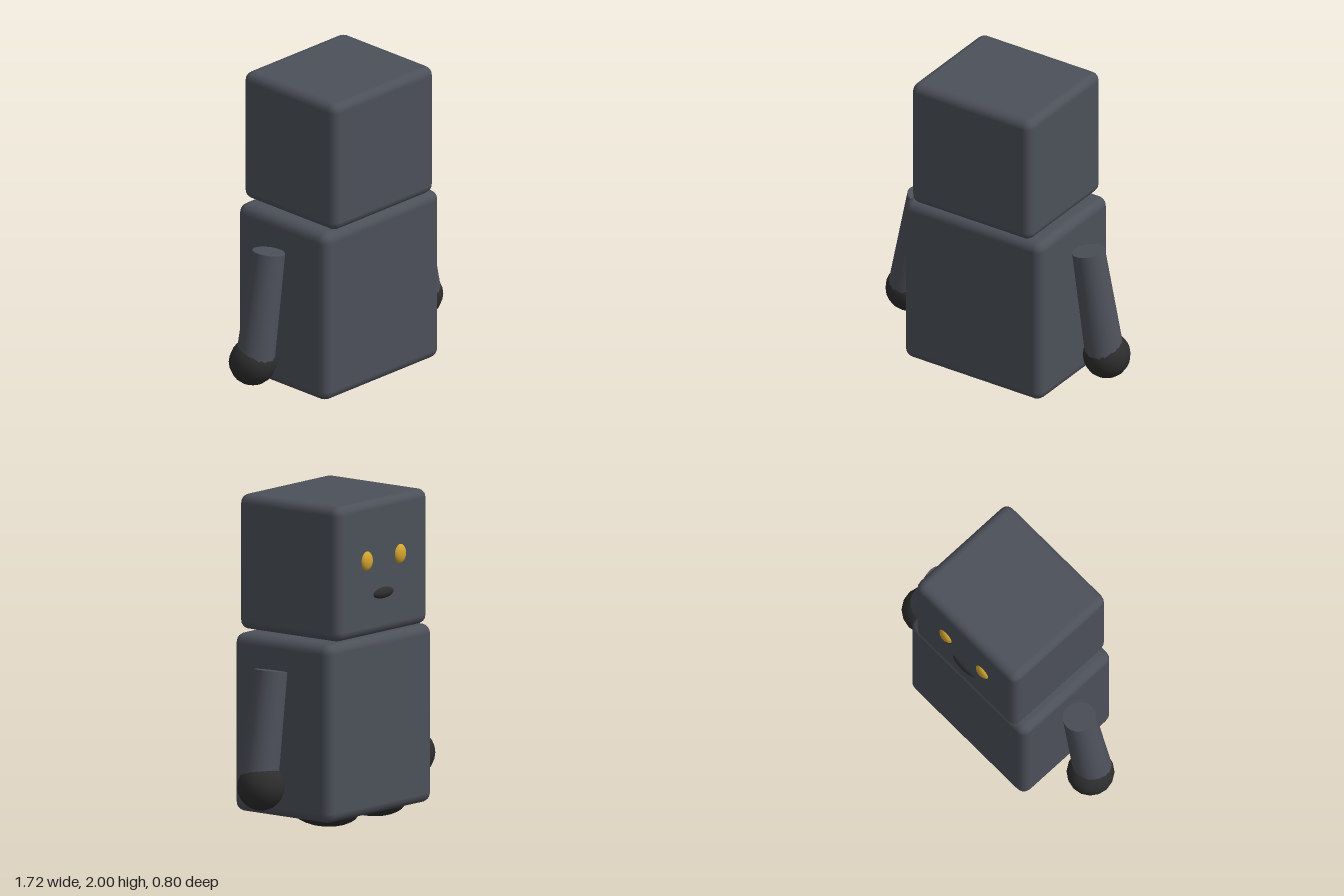
import * as THREE from 'three';
import { RoundedBoxGeometry } from 'three/addons/geometries/RoundedBoxGeometry.js';

function material(name, color) {
  const m = new THREE.MeshStandardMaterial({ color });
  m.name = name;
  return m;
}

export function createModel() {
  const group = new THREE.Group();
  const slate = material('slate grey', 0x4c5059);
  const dark = material('charcoal', 0x2d2d2d);
  const gold = material('gold', 0xd4a52f);

  const add = (name, geometry, mat, x, y, z) => {
    const mesh = new THREE.Mesh(geometry, mat);
    mesh.name = name;
    mesh.position.set(x, y, z);
    group.add(mesh);
    return mesh;
  };
  const ellipsoid = (rx, ry, rz) => new THREE.SphereGeometry(1, 20, 14).scale(rx, ry, rz);

  // Blocky body and head with soft edges
  add('body', new RoundedBoxGeometry(1, 1.09, 0.745, 2, 0.06), slate, 0, 0.62, 0.0125);
  add('head', new RoundedBoxGeometry(0.87, 0.825, 0.775, 2, 0.055), slate, 0, 1.5875, 0.0125);

  // Face, on the -z side
  add('mouth', ellipsoid(0.1, 0.035, 0.03), dark, 0, 1.425, -0.367);

  for (const side of [-1, 1]) {
    const label = side > 0 ? 'left' : 'right';
    add(label + 'Eye', ellipsoid(0.052, 0.06, 0.03), gold, side * 0.158, 1.64, -0.37);

    // Tapered arm leaning outwards, ending in a round hand
    const top = new THREE.Vector3(side * 0.597, 0.99, 0.01);
    const bottom = new THREE.Vector3(side * 0.713, 0.33, 0.01);
    const axis = top.clone().sub(bottom);
    const arm = add(label + 'Arm', new THREE.CylinderGeometry(0.1, 0.118, axis.length(), 20), slate,
      (top.x + bottom.x) / 2, (top.y + bottom.y) / 2, 0.01);
    arm.quaternion.setFromUnitVectors(new THREE.Vector3(0, 1, 0), axis.normalize());
    add(label + 'Hand', new THREE.SphereGeometry(0.144, 16, 12), dark, side * 0.715, 0.302, -0.01);

    // Flattened foot, mostly sunk into the body
    add(label + 'Foot', ellipsoid(0.16, 0.1, 0.235), dark, side * 0.22, 0.102, -0.1);
  }
  return group;
}
